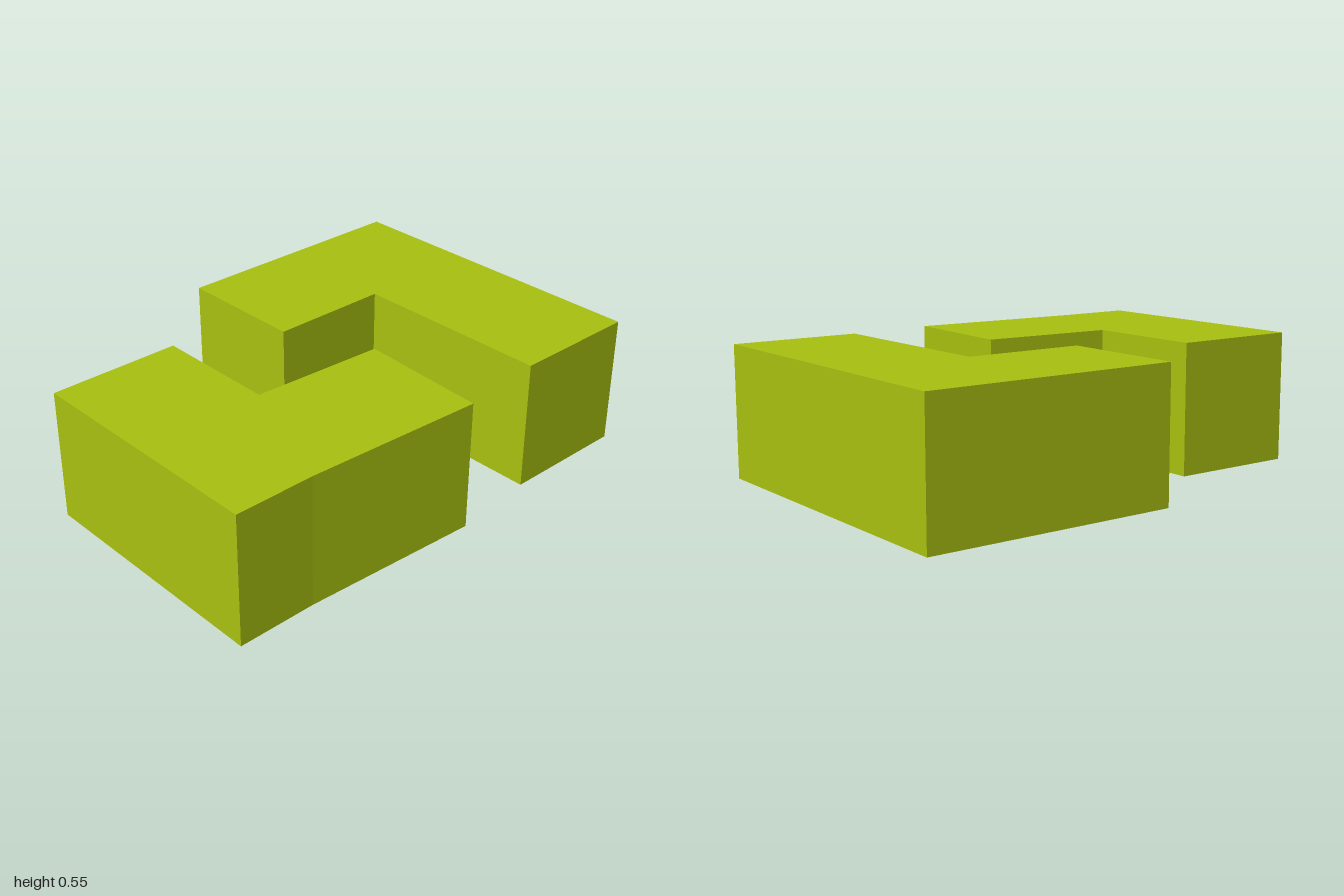
import * as THREE from 'three';

const HEIGHT = 0.545;

// Upright block from a floor outline of [x, z] corners
function createBlock(name, outline, material) {
  const shape = new THREE.Shape(outline.map(([x, z]) => new THREE.Vector2(x, -z)));
  const geometry = new THREE.ExtrudeGeometry(shape, { depth: HEIGHT, bevelEnabled: false });
  geometry.rotateX(-Math.PI / 2);
  const mesh = new THREE.Mesh(geometry, material);
  mesh.name = name;
  return mesh;
}

export function createModel() {
  const group = new THREE.Group();
  group.name = 'interlockingBlocks';
  const material = new THREE.MeshStandardMaterial({ color: 0xa8c010 });

  // Rear L: long bar along the back with a short arm coming forward
  group.add(createBlock('rearBlock', [
    [-0.72, -1], [-0.72, 0.055], [-0.175, 0.055],
    [-0.175, -0.455], [0.675, -0.455], [0.675, -1],
  ], material));

  // Front L: short foot along the front with a slightly skewed arm reaching back
  group.add(createBlock('frontBlock', [
    [-0.38, 1], [0.675, 1], [0.675, 0.67], [0.717, -0.083],
    [0.172, -0.113], [0.141, 0.45], [-0.38, 0.45],
  ], material));

  return group;
}
